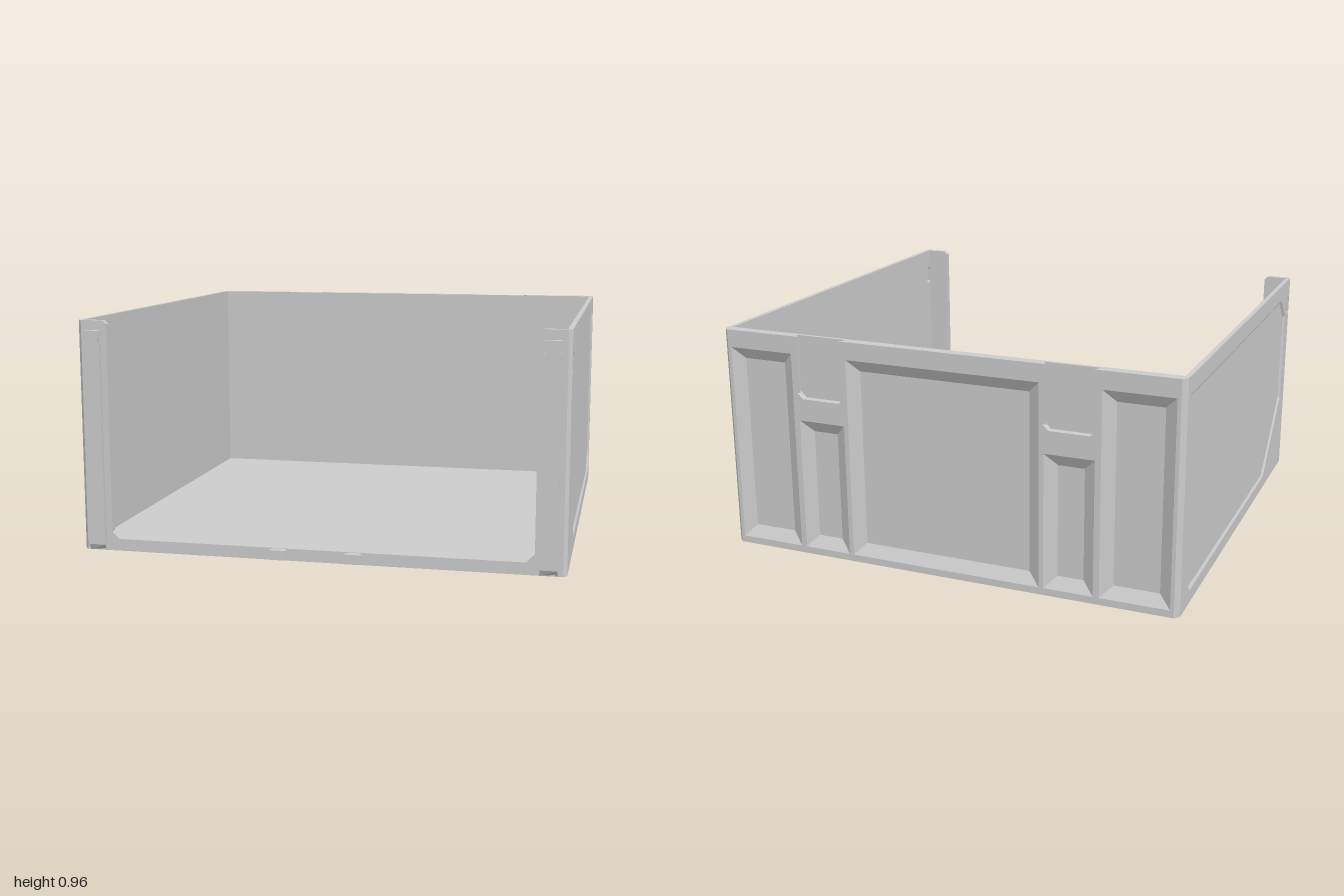
import * as THREE from 'three';

const grey = new THREE.MeshStandardMaterial({ color: 0xcccccc, flatShading: true });
const H = 0.96, BACK = -0.975, FRONT = 0.945;

const pts = (list) => list.map(([x, y]) => new THREE.Vector2(x, y));
const rect = (x0, x1, y0, y1) => [[x0, y0], [x1, y0], [x1, y1], [x0, y1]];

function add(parent, name, geometry) {
  const mesh = new THREE.Mesh(geometry, grey);
  mesh.name = name;
  parent.add(mesh);
  return mesh;
}

function box(parent, name, x0, x1, y0, y1, z0, z1) {
  const g = new THREE.BoxGeometry(x1 - x0, y1 - y0, z1 - z0);
  g.translate((x0 + x1) / 2, (y0 + y1) / 2, (z0 + z1) / 2);
  return add(parent, name, g);
}

// plate in the xy plane between two depths
function plate(outline, holes, z0, z1) {
  const shape = new THREE.Shape(pts(outline));
  shape.holes = holes.map((h) => new THREE.Path(pts(h)));
  return new THREE.ExtrudeGeometry(shape, { depth: z1 - z0, bevelEnabled: false }).translate(0, 0, z0);
}

// upright prism from a plan outline of [x, z] points
function prism(plan, y0, y1) {
  return plate(plan.map(([x, z]) => [x, -z]), [], y0, y1).rotateX(-Math.PI / 2);
}

// shrink a convex counter-clockwise outline by distance d
function inset(outline, d) {
  const n = outline.length;
  return outline.map((p, i) => {
    const a = outline[(i + n - 1) % n], b = outline[(i + 1) % n];
    const l1 = Math.hypot(p[0] - a[0], p[1] - a[1]), l2 = Math.hypot(b[0] - p[0], b[1] - p[1]);
    const n1 = [-(p[1] - a[1]) / l1, (p[0] - a[0]) / l1];
    const n2 = [-(b[1] - p[1]) / l2, (b[0] - p[0]) / l2];
    const k = d / (1 + n1[0] * n2[0] + n1[1] * n2[1]);
    return [p[0] + k * (n1[0] + n2[0]), p[1] + k * (n1[1] + n2[1])];
  });
}

// sloping border of a pocket, from the face down to its floor
function slope(outline, width, depth) {
  const inner = inset(outline, width), v = [];
  outline.forEach((a, i) => {
    const j = (i + 1) % outline.length, b = outline[j];
    const A = [...a, 0], B = [...b, 0], C = [...inner[j], -depth], D = [...inner[i], -depth];
    v.push(...A, ...B, ...C, ...A, ...C, ...D);
  });
  const g = new THREE.BufferGeometry();
  g.setAttribute('position', new THREE.Float32BufferAttribute(v, 3));
  g.computeVertexNormals();
  return g;
}

// wall with its outer face at local z = 0, facing +z
function wall(name, { face, core, pockets, through, width, depth, thickness }) {
  const group = new THREE.Group();
  group.name = name;
  add(group, name + 'Face', plate(face, [...pockets, ...through], -depth, 0));
  add(group, name + 'Core', plate(core, through, -thickness, -depth));
  pockets.forEach((p) => add(group, name + 'PocketEdge', slope(p, width, depth)));
  return group;
}

export function createModel() {
  const model = new THREE.Group();
  model.name = 'drawer';
  box(model, 'floor', -0.985, 0.985, 0, 0.025, -0.94, 0.925);

  // side walls: recessed panel and a small rounded slot near the front
  const panel = [[-0.84, 0.37], [-0.52, 0.055], [0.825, 0.055], [0.92, 0.15],
    [0.92, 0.885], [-0.74, 0.885], [-0.84, 0.79]];
  const slot = [[-0.91, 0.785], [-0.895, 0.785], [-0.885, 0.795], [-0.885, 0.86],
    [-0.895, 0.87], [-0.91, 0.87], [-0.92, 0.86], [-0.92, 0.795]];
  for (const s of [1, -1]) {
    // on the other side the outline is mirrored and its order reversed
    const m = (o) => (s > 0 ? o : o.map(([x, y]) => [-x, y]).reverse());
    const edge = m(rect(-0.93, 0.955, 0, H));
    const side = wall(s > 0 ? 'leftWall' : 'rightWall', {
      face: edge, core: edge, pockets: [m(panel)], through: [m(slot)],
      width: 0.012, depth: 0.008, thickness: 0.02,
    });
    side.rotation.y = s * Math.PI / 2;
    side.position.x = s;
    model.add(side);

    // chamfered upright corners
    add(model, 'backCorner', prism([[s * 0.98, -0.955], [s, -0.955], [s * 0.98, BACK]], 0, H));
    add(model, 'frontCorner', prism([[s * 0.985, 0.93], [s, 0.93], [s * 0.985, FRONT]], 0, H));
  }

  // back wall: five bevelled pockets and two notches open at the top
  const pockets = [rect(-0.42, 0.42, 0.03, 0.885)];
  for (const s of [1, -1]) {
    for (const [a, b, top] of [[0.44, 0.65, 0.6], [0.675, 0.965, 0.885]]) {
      pockets.push(rect(Math.min(s * a, s * b), Math.max(s * a, s * b), 0.03, top));
    }
  }
  const notch = (c) => [[c + 0.11, H], [c + 0.11, 0.72], [c + 0.085, 0.695],
    [c - 0.085, 0.695], [c - 0.11, 0.72], [c - 0.11, H]];
  const back = wall('backWall', {
    face: [[-0.98, 0], [0.98, 0], [0.98, H], ...notch(0.545), ...notch(-0.545), [-0.98, H]],
    core: rect(-0.98, 0.98, 0, H), pockets, through: [],
    width: 0.05, depth: 0.03, thickness: 0.045,
  });
  back.rotation.y = Math.PI;
  back.position.z = BACK;
  model.add(back);

  // undercut guide lips in the notches
  for (const c of [0.545, -0.545]) {
    for (const s of [1, -1]) {
      add(model, 'notchLip', prism([[c + s * 0.11, BACK], [c + s * 0.095, BACK],
        [c + s * 0.11, -0.955]], 0.72, H));
    }
  }

  // front frame: low sill and two flanges
  const half = [[0.985, 0], [0.985, H], [0.89, H], [0.875, 0.945], [0.875, 0.08], [0.845, 0.05]];
  const mirrored = half.map(([x, y]) => [-x, y]).reverse();
  add(model, 'frontFrame', plate([...half, ...mirrored], [], 0.92, FRONT));

  // dovetail rails and short sill clips
  const dovetail = (c, w) => [[c - 0.02, 0.94], [c + 0.02, 0.94], [c + w, 0.962],
    [c + w, 0.975], [c - w, 0.975], [c - w, 0.962]];
  for (const s of [1, -1]) {
    const rail = prism(dovetail(s * 0.93, 0.035), 0.005, 0.87);
    // slope the lower end of the rail
    const p = rail.attributes.position;
    for (let i = 0; i < p.count; i++) {
      if (p.getY(i) < 0.01 && p.getZ(i) > 0.97) p.setY(i, 0.03);
    }
    rail.computeVertexNormals();
    add(model, 'frontRail', rail);
    add(model, 'railNeck', prism(dovetail(s * 0.93, 0.028), 0.87, 0.89));
    add(model, 'railHead', prism(dovetail(s * 0.93, 0.035), 0.89, 0.92));
    add(model, 'sillClip', prism(dovetail(s * 0.155, 0.036), 0.008, 0.048));
    const x = s * 0.955;
    box(model, 'railDetent', x - 0.012, x + 0.012, 0.72, 0.775, 0.945, 0.972);
  }
  return model;
}
